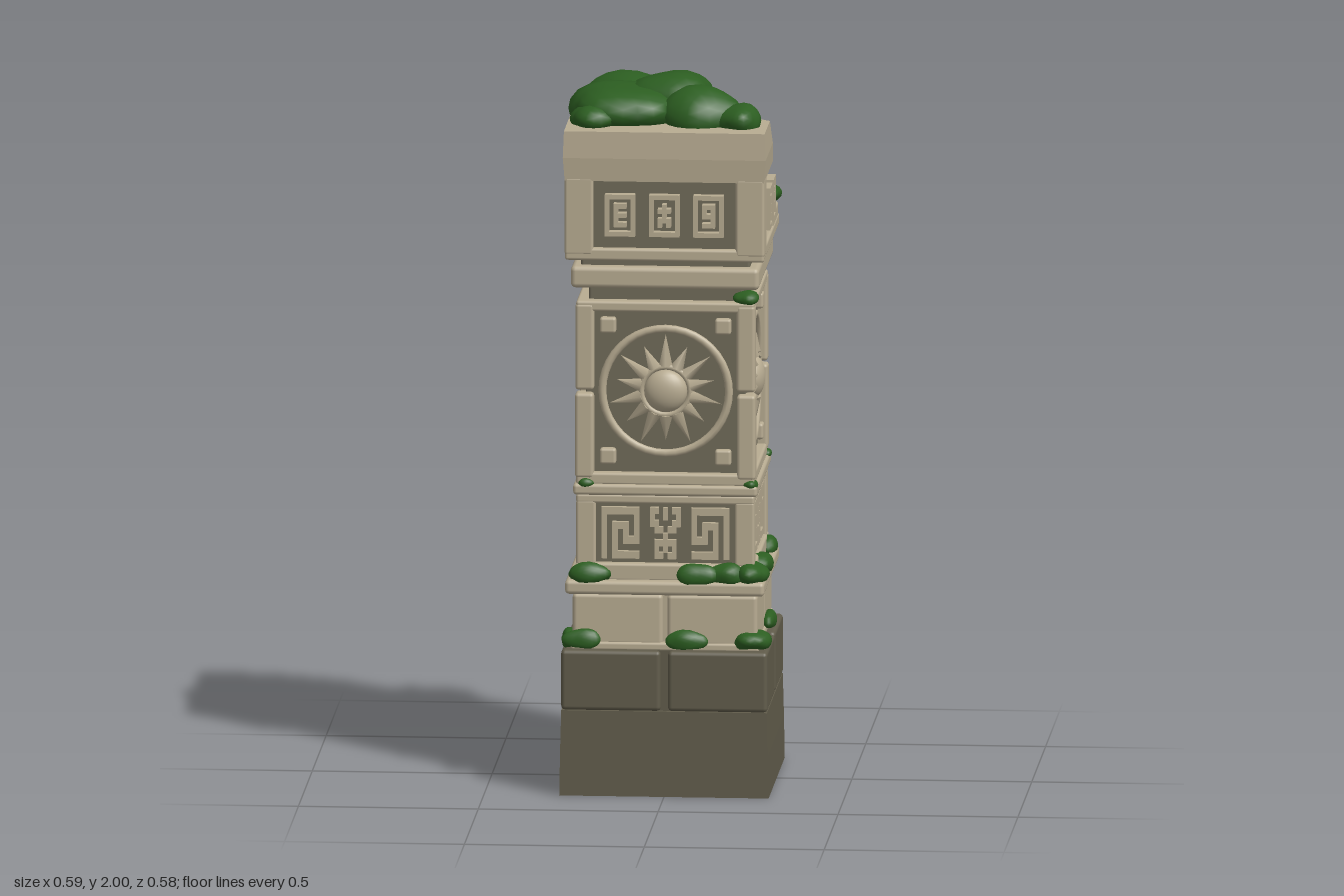
import * as THREE from 'three';
import { mergeVertices } from 'three/addons/utils/BufferGeometryUtils.js';
import { RoundedBoxGeometry } from 'three/addons/geometries/RoundedBoxGeometry.js';

const mat = (name, color, opts = {}) => {
  const m = new THREE.MeshStandardMaterial({ color, ...opts });
  m.name = name;
  return m;
};
const stone = mat('pale stone', 0xb8ac92);
const brokenStone = mat('pale stone facets', 0xb8ac92, { flatShading: true });
const recess = mat('shadowed recess', 0x706b59);
const baseStone = mat('dark base stone', 0x615c4b);
const moss = mat('moss green', 0x2c5e21);

function add(parent, name, geo, material, x = 0, y = 0, z = 0) {
  const m = new THREE.Mesh(geo, material);
  m.name = name;
  m.position.set(x, y, z);
  parent.add(m);
  return m;
}
const box = (p, name, m, w, h, d, x, y, z) => add(p, name, new THREE.BoxGeometry(w, h, d), m, x, y, z);
const block = (p, name, m, w, h, d, x, y, z, r = 0.008) =>
  add(p, name, new RoundedBoxGeometry(w, h, d, 2, r), m, x, y, z);
// square course of the column between two heights
const course = (p, name, m, half, y0, y1, r) =>
  block(p, name, m, half * 2, y1 - y0, half * 2, 0, (y0 + y1) / 2, 0, r);

// four stones with open joints around a core
function quarterCourse(p, name, m, half, y0, y1, gap) {
  box(p, name + 'Core', m, half * 1.9, y1 - y0, half * 1.9, 0, (y0 + y1) / 2, 0);
  const s = half - gap / 2;
  for (const sx of [-1, 1]) for (const sz of [-1, 1])
    block(p, name + 'Block', m, s, y1 - y0, s, sx * (half + gap / 2) / 2, (y0 + y1) / 2, sz * (half + gap / 2) / 2, 0.012);
}

// relief carving from a small pattern; each run of # becomes one bar
function carve(p, name, pattern, cx, cy, w, h, z, d) {
  const rows = pattern.split('|');
  const cw = w / rows[0].length, ch = h / rows.length;
  rows.forEach((row, r) => {
    for (const run of row.matchAll(/#+/g)) {
      const n = run[0].length;
      box(p, name, stone, n * cw, ch, d, cx - w / 2 + (run.index + n / 2) * cw, cy + h / 2 - (r + 0.5) * ch, z);
    }
  });
}

// solid through matching cross-sections, given as [y, [[x, z], ...]]
function loft(sections) {
  const pos = [];
  const put = (s, i) => pos.push(s[1][i][0], s[0], s[1][i][1]);
  for (let k = 0; k + 1 < sections.length; k++) {
    const a = sections[k], b = sections[k + 1], n = a[1].length;
    for (let i = 0; i < n; i++) {
      const j = (i + 1) % n;
      put(a, i); put(a, j); put(b, j);
      put(a, i); put(b, j); put(b, i);
    }
  }
  for (const [s, flip] of [[sections[0], true], [sections[sections.length - 1], false]]) {
    const pts = s[1].map(([x, z]) => new THREE.Vector2(x, -z));
    for (const t of THREE.ShapeUtils.triangulateShape(pts, [])) (flip ? t.reverse() : t).forEach(i => put(s, i));
  }
  const g = new THREE.BufferGeometry();
  g.setAttribute('position', new THREE.Float32BufferAttribute(pos, 3));
  g.computeVertexNormals();
  return g;
}
// square outline with its back left corner broken away
const broken = (h, edgeX, edgeZ, inner) => [[-h, h], [h, h], [h, edgeZ], ...inner, [edgeX, -h], [-h, -h]];

// lumpy moss cushion
function cushion(p, x, y, z, rx, ry, rz, seed) {
  let g = new THREE.IcosahedronGeometry(1, 3);
  g.deleteAttribute('normal');
  g.deleteAttribute('uv');
  g = mergeVertices(g, 1e-3);
  const a = g.attributes.position, v = new THREE.Vector3();
  for (let i = 0; i < a.count; i++) {
    v.fromBufferAttribute(a, i);
    const k = 1 + 0.07 * Math.sin(4 * v.x + seed * 2.1) + 0.07 * Math.sin(5 * v.z + seed * 1.3 + 2 * v.y);
    a.setXYZ(i, v.x * k * rx, Math.max(v.y, -0.6) * k * ry, v.z * k * rz);
  }
  g.computeVertexNormals();
  add(p, 'mossCushion', g, moss, x, y, z);
}

// sunburst relief
function sun(p) {
  const g = new THREE.Group();
  g.name = 'sunRelief';
  g.position.set(0, 1.135, 0.226);
  p.add(g);
  add(g, 'sunRing', new THREE.TorusGeometry(0.176, 0.011, 8, 40), stone);
  add(g, 'bossRing', new THREE.TorusGeometry(0.068, 0.008, 8, 28), stone);
  add(g, 'sunBoss', new THREE.SphereGeometry(0.06, 24, 14), stone).scale.z = 0.55;
  for (let i = 0; i < 14; i++) {
    const a = i / 14 * Math.PI * 2, len = i % 2 ? 0.068 : 0.09;
    const ray = add(g, 'sunRay', new THREE.ConeGeometry(0.019, len, 4), stone,
      -Math.sin(a) * (0.07 + len / 2), Math.cos(a) * (0.07 + len / 2), 0);
    ray.rotation.z = a;
  }
  for (const sx of [-1, 1]) for (const sy of [-1, 1])
    block(g, 'cornerStud', stone, 0.045, 0.045, 0.03, sx * 0.16, sy * 0.185, 0.002);
}

// nested square relief
function squareRelief(p) {
  for (const s of [-1, 1]) {
    box(p, 'innerFrameSide', stone, 0.025, 0.39, 0.022, s * 0.148, 1.135, 0.23);
    box(p, 'innerFrameRail', stone, 0.32, 0.025, 0.022, 0, 1.135 + s * 0.182, 0.23);
    box(p, 'sideStep', stone, 0.03, 0.06, 0.02, s * 0.095, 1.135, 0.23);
    for (const t of [-1, 1]) {
      box(p, 'innerStep', stone, 0.045, 0.045, 0.018, s * 0.055, 1.135 + t * 0.085, 0.23);
      box(p, 'outerStep', stone, 0.04, 0.04, 0.026, s * 0.105, 1.135 + t * 0.135, 0.23);
    }
  }
  block(p, 'centreBlock', stone, 0.17, 0.12, 0.05, 0, 1.135, 0.225);
}

export function createModel() {
  const model = new THREE.Group();
  model.name = 'mossyStoneColumn';

  // dark footing
  const c = h => [[-h, h], [h, h], [h, -h], [-h, -h]];
  add(model, 'footing', loft([[0, c(0.291)], [0.12, c(0.289)], [0.24, c(0.286)]]),
    mat('dark base stone facets', 0x615c4b, { flatShading: true }));
  quarterCourse(model, 'footingUpper', baseStone, 0.287, 0.24, 0.41, 0.02);

  // pale plinth, mouldings and neck
  course(model, 'plinthFoot', stone, 0.262, 0.405, 0.43);
  quarterCourse(model, 'plinth', stone, 0.257, 0.42, 0.565, 0.012);
  course(model, 'plinthLedge', stone, 0.277, 0.565, 0.605, 0.012);
  course(model, 'bandFoot', stone, 0.25, 0.6, 0.65);
  course(model, 'bandCore', recess, 0.228, 0.62, 0.87, 0.004);
  course(model, 'bandTop', stone, 0.248, 0.818, 0.845);
  course(model, 'bandLedge', stone, 0.256, 0.842, 0.874, 0.01);
  course(model, 'shaftFoot', stone, 0.248, 0.87, 0.905);
  course(model, 'shaftCore', recess, 0.222, 0.89, 1.38, 0.004);
  course(model, 'shaftTop', stone, 0.248, 1.36, 1.39);
  course(model, 'neck', recess, 0.215, 1.38, 1.44);
  course(model, 'neckLedge', stone, 0.262, 1.428, 1.49, 0.014);
  course(model, 'capJoint', recess, 0.235, 1.48, 1.52);
  course(model, 'capFoot', stone, 0.277, 1.51, 1.545);

  // corner posts
  for (const sx of [-1, 1]) for (const sz of [-1, 1]) {
    block(model, 'bandPost', stone, 0.055, 0.185, 0.055, sx * 0.2205, 0.735, sz * 0.2205);
    block(model, 'shaftPostLower', stone, 0.052, 0.24, 0.052, sx * 0.225, 1.009, sz * 0.225, 0.01);
    block(model, 'shaftPostUpper', stone, 0.052, 0.245, 0.052, sx * 0.224, 1.26, sz * 0.224, 0.01);
    if (sx < 0 || sz > 0) block(model, 'capPost', stone, 0.08, 0.22, 0.08, sx * 0.238, 1.635, sz * 0.238);
  }

  // broken cap
  add(model, 'capBody', loft([
    [1.535, broken(0.255, 0.12, -0.12, [[0.2, -0.14], [0.15, -0.2]])],
    [1.62, broken(0.255, 0.09, -0.09, [[0.19, -0.12], [0.14, -0.18]])],
    [1.745, broken(0.255, 0.06, -0.06, [[0.17, -0.1], [0.1, -0.18]])],
  ]), brokenStone);
  add(model, 'capBeam', loft([
    [1.735, broken(0.277, 0.05, -0.05, [[0.18, -0.1], [0.11, -0.18]])],
    [1.8, broken(0.282, -0.03, 0.02, [[0.16, -0.07], [0.06, -0.18]])],
    [1.875, broken(0.279, -0.09, 0.09, [[0.13, -0.03], [0.0, -0.17]])],
  ]), brokenStone);
  block(model, 'brokenCornerLedge', stone, 0.2, 0.05, 0.2, 0.175, 1.555, -0.175, 0.012);

  // carved sides, turning from the front towards +x
  const bandMarks = [
    '#######|#.....#|#.###.#|#.#.#.#|#.#.###|#.#....|#.#####',
    '##.#.##|#..#..#|##...##|.##.##.|...#...|.#####.|.#.#.#.|.##.##.',
    '#######|#.....#|#.###.#|#.#.#.#|###.#.#|....#.#|#####.#',
  ];
  const capMarks = [
    '#######|#.....#|#.###.#|#.#...#|#.###.#|#.#...#|#.###.#|#.....#|#######',
    '#######|#.....#|#..#..#|#.###.#|#..#..#|#.###.#|#.#.#.#|#.....#|#######',
    '#######|#.....#|#.###.#|#.#.#.#|#.###.#|#...#.#|#.###.#|#.....#|#######',
  ];
  for (let i = 0; i < 4; i++) {
    const side = new THREE.Group();
    side.name = ['frontCarving', 'leftCarving', 'backCarving', 'rightCarving'][i];
    side.rotation.y = i * Math.PI / 2;
    model.add(side);
    bandMarks.forEach((m, k) => carve(side, 'bandRelief', m, (k - 1) * 0.125, 0.735, k === 1 ? 0.085 : 0.105, 0.145, 0.234, 0.018));
    if (i < 2) sun(side); else squareRelief(side);
    const x0 = i === 2 ? -0.055 : -0.2, x1 = i === 1 ? 0.055 : 0.2;
    box(side, 'capPanel', recess, x1 - x0, 0.195, 0.008, (x0 + x1) / 2, 1.638, 0.256);
    capMarks.forEach((m, k) => {
      if ((i === 1 && k === 2) || (i === 2 && k === 0)) return;
      carve(side, 'capRelief', m, (k - 1) * 0.123, 1.64, 0.084, 0.118, 0.271, 0.03);
    });
  }

  // moss on the cap, then on the ledges: x, y, z, radii
  const growth = [
    [-0.13, 1.9, -0.12, 0.13, 0.06, 0.12], [-0.12, 1.9, 0.07, 0.155, 0.075, 0.14],
    [0.0, 1.935, 0.01, 0.12, 0.06, 0.11], [0.09, 1.9, 0.1, 0.12, 0.07, 0.115],
    [0.09, 1.85, -0.1, 0.07, 0.05, 0.08], [0.2, 1.89, 0.165, 0.06, 0.045, 0.065],
    [-0.2, 1.89, 0.165, 0.075, 0.04, 0.065], [0.2, 1.615, -0.19, 0.085, 0.035, 0.08],
    [-0.23, 0.435, 0.262, 0.055, 0.03, 0.025], [0.06, 0.435, 0.265, 0.06, 0.03, 0.024],
    [0.24, 0.435, 0.235, 0.05, 0.032, 0.055], [0.262, 0.435, -0.06, 0.025, 0.026, 0.06],
    [-0.21, 0.62, 0.25, 0.065, 0.032, 0.035], [0.09, 0.62, 0.255, 0.055, 0.033, 0.033],
    [0.17, 0.622, 0.25, 0.05, 0.032, 0.033], [0.237, 0.622, 0.227, 0.05, 0.034, 0.06],
    [0.25, 0.62, 0.07, 0.034, 0.033, 0.062], [0.245, 0.615, -0.21, 0.035, 0.03, 0.055],
    [-0.25, 0.61, -0.25, 0.03, 0.025, 0.03], [-0.265, 0.43, 0.22, 0.022, 0.03, 0.05],
    [0.235, 0.875, 0.235, 0.023, 0.015, 0.023], [-0.22, 0.875, 0.245, 0.025, 0.014, 0.015],
    [0.245, 0.875, -0.22, 0.015, 0.014, 0.025], [0.225, 1.4, 0.22, 0.036, 0.02, 0.04],
  ];
  growth.forEach((g, i) => cushion(model, ...g, i + 1));
  return model;
}
